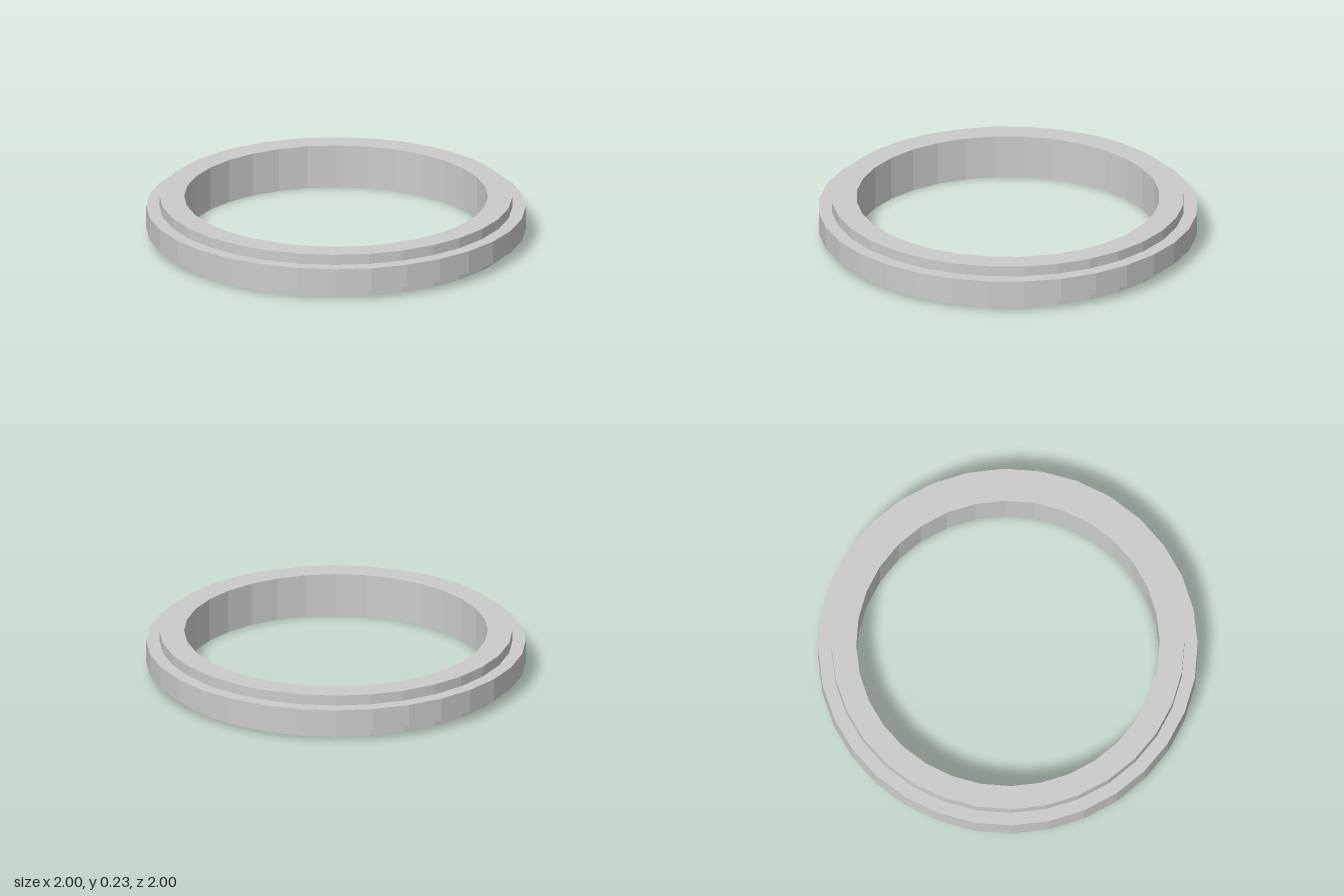
import * as THREE from 'three';

const SIDES = 32;
const INNER = 0.8, RIM = 0.93, OUTER = 1;
const HEIGHT = 0.234, BAND_BOTTOM = 0.056, BAND_TOP = 0.178;

export function createModel() {
  const model = new THREE.Group();
  model.name = 'steppedRing';

  // Closed cross-section: bottom, stepped outer wall, top, bore
  const profile = [
    [INNER, 0], [RIM, 0],
    [RIM, BAND_BOTTOM], [OUTER, BAND_BOTTOM],
    [OUTER, BAND_TOP], [RIM, BAND_TOP],
    [RIM, HEIGHT], [INNER, HEIGHT],
    [INNER, 0],
  ].map(([r, y]) => new THREE.Vector2(r, y));

  // Ring with a wider band round its middle
  const ring = new THREE.Mesh(
    new THREE.LatheGeometry(profile, SIDES),
    new THREE.MeshStandardMaterial({ color: 0xcccccc, flatShading: true })
  );
  ring.name = 'ring';
  model.add(ring);

  return model;
}
